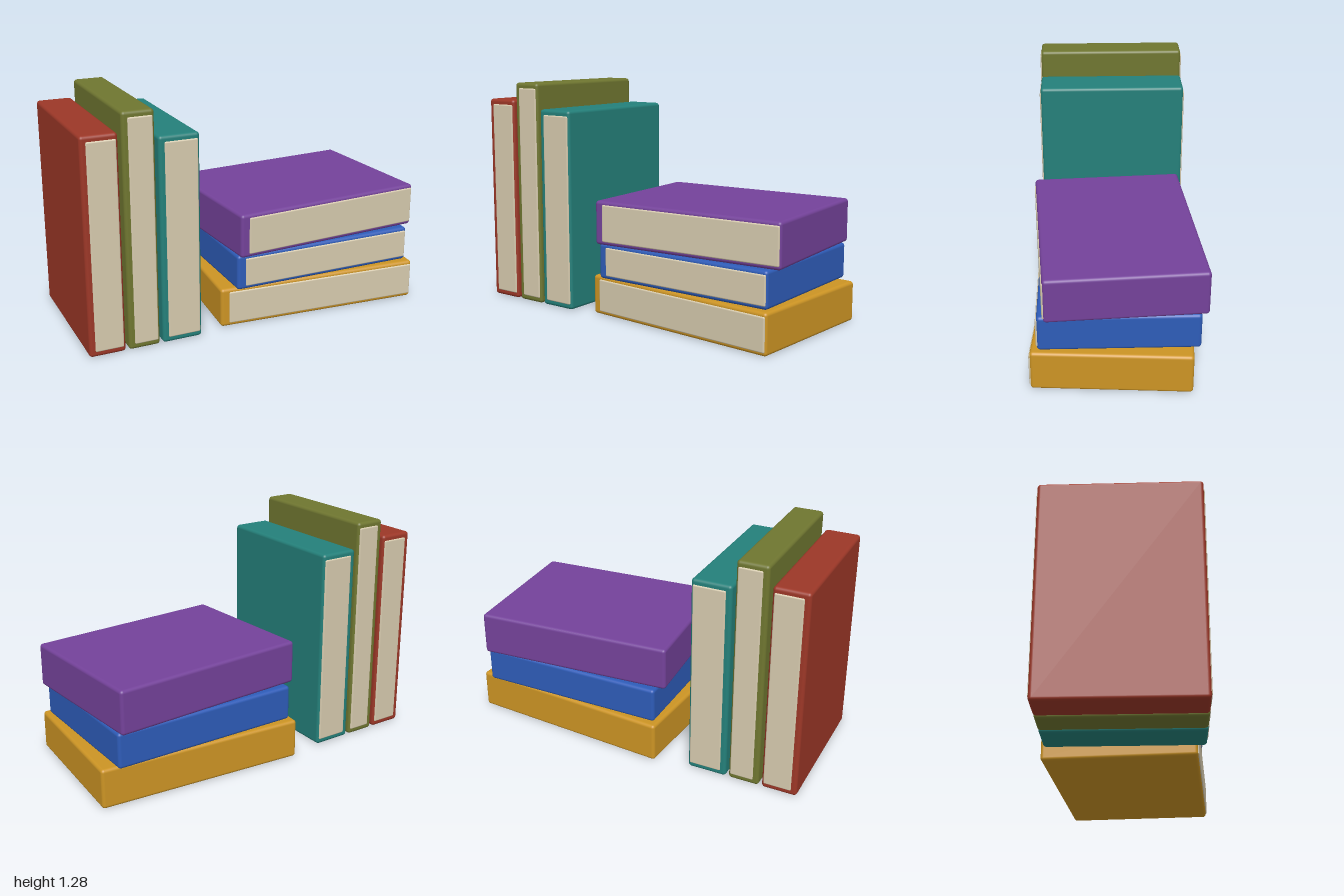
import * as THREE from 'three';
import { RoundedBoxGeometry } from 'three/addons/geometries/RoundedBoxGeometry.js';

const mat = (name, color) => {
  const m = new THREE.MeshStandardMaterial({ color });
  m.name = name;
  return m;
};

// Rounded box given by its min and max corners
function block(name, [x0, y0, z0], [x1, y1, z1], radius, material) {
  const geo = new RoundedBoxGeometry(x1 - x0, y1 - y0, z1 - z0, 3, radius);
  const mesh = new THREE.Mesh(geo, material);
  mesh.position.set((x0 + x1) / 2, (y0 + y1) / 2, (z0 + z1) / 2);
  mesh.name = name;
  return mesh;
}

export function createModel() {
  const model = new THREE.Group();
  model.name = 'books';
  const paper = mat('paper', 0xd6caae);
  const red = mat('red cover', 0x9c3727);
  const olive = mat('olive cover', 0x6f7630);
  const teal = mat('teal cover', 0x24807a);
  const gold = mat('gold cover', 0xcc9424);
  const blue = mat('blue cover', 0x2e5cb8);
  const purple = mat('purple cover', 0x74429a);

  // Upright books: pages show at the front and the back
  const upright = [
    ['redBook', -1, -0.803, 1.185, red],
    ['oliveBook', -0.785, -0.612, 1.285, olive],
    ['tealBook', -0.595, -0.372, 1.14, teal],
  ];
  for (const [name, x0, x1, h, cover] of upright) {
    const book = new THREE.Group();
    book.name = name;
    book.add(
      block('cover', [x0, 0, -0.421], [x1, h, 0.415], 0.018, cover),
      block('pages', [x0 + 0.031, 0.03, -0.427], [x1 - 0.011, h - 0.03, 0.421], 0.008, paper),
    );
    model.add(book);
  }

  // Lying books: pages show at the front only, each turned a little
  const lying = [
    ['goldBook', 1.185, 0, 0.223, -0.07, gold],
    ['blueBook', 1.08, 0.223, 0.422, 0, blue],
    ['purpleBook', 1.128, 0.422, 0.666, 0.067, purple],
  ];
  for (const [name, w, y0, y1, turn, cover] of lying) {
    const book = new THREE.Group();
    book.name = name;
    book.add(
      block('cover', [-w / 2, y0, -0.418], [w / 2, y1, 0.418], 0.018, cover),
      block('pages', [-w / 2 + 0.048, y0 + 0.019, -0.38], [w / 2 - 0.008, y1 - 0.019, 0.424], 0.008, paper),
    );
    book.position.set(0.38, 0, -0.003);
    book.rotation.y = turn;
    model.add(book);
  }
  return model;
}
